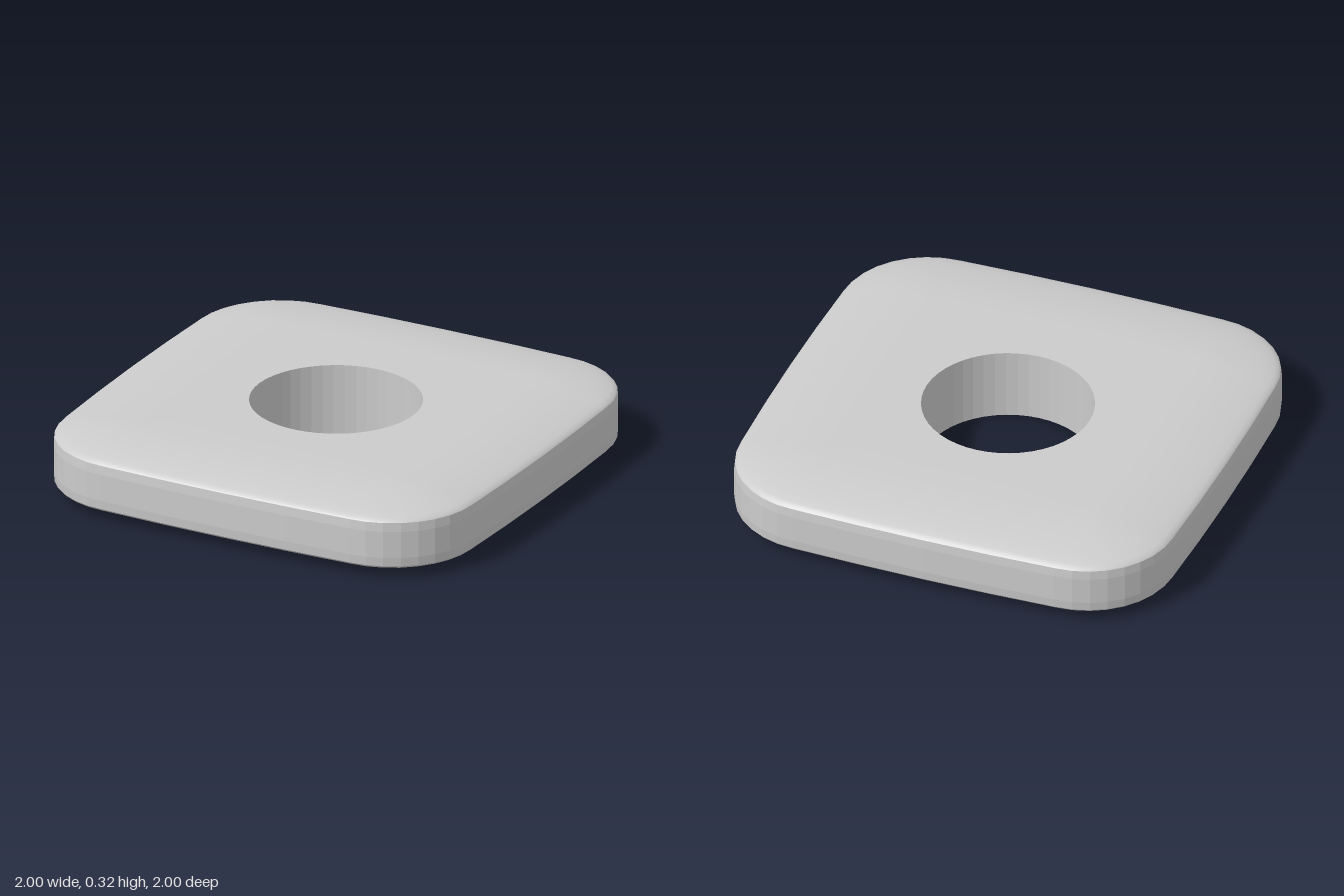
import * as THREE from 'three';

const ARC = 8, SIDE = 4, PER = ARC + SIDE, COUNT = PER * 4;
const HALF = 0.988, CORNER = 0.39, BULGE = 0.012, HOLE = 0.37, HEIGHT = 0.32;

// Rounded square loop, inset by d, with slightly bowed sides
function squareLoop(d, y) {
  const c = HALF - CORNER, r = CORNER - d, pts = [];
  for (let q = 0; q < 4; q++) {
    for (let k = 0; k < PER; k++) {
      let x, z;
      if (k <= ARC) {
        const a = (k / ARC) * Math.PI / 2;
        x = c + r * Math.cos(a);
        z = c + r * Math.sin(a);
      } else {
        const t = 1 - 2 * (k - ARC) / SIDE;
        x = c * t;
        z = c + r + BULGE * (1 - t * t);
      }
      const cs = Math.round(Math.cos(q * Math.PI / 2)), sn = Math.round(Math.sin(q * Math.PI / 2));
      pts.push([x * cs - z * sn, y, -(x * sn + z * cs)]);
    }
  }
  return pts;
}

// Circular loop of the bore
function holeLoop(y) {
  return Array.from({ length: COUNT }, (_, j) => {
    const a = ((j - ARC / 2) / PER + 0.5) * Math.PI / 2;
    return [HOLE * Math.cos(a), y, -HOLE * Math.sin(a)];
  });
}

// Skin joining consecutive loops
function skin(name, loops, flatShading) {
  const index = [];
  for (let i = 0; i < loops.length - 1; i++) {
    for (let j = 0; j < COUNT; j++) {
      const n = (j + 1) % COUNT;
      const a = i * COUNT + j, b = a + COUNT, c = (i + 1) * COUNT + n, d = i * COUNT + n;
      index.push(a, b, c, a, c, d);
    }
  }
  const geo = new THREE.BufferGeometry();
  geo.setAttribute('position', new THREE.Float32BufferAttribute(loops.flat(2), 3));
  geo.setIndex(index);
  geo.computeVertexNormals();
  const mesh = new THREE.Mesh(geo, new THREE.MeshStandardMaterial({ color: 0xcccccc, flatShading }));
  mesh.name = name;
  return mesh;
}

export function createModel() {
  const group = new THREE.Group();
  group.name = 'roundedSquareWasher';

  // Cushioned face: inset from the rim and height, centre to edge
  const profile = [[0.385, 0.32], [0.3, 0.317], [0.22, 0.311], [0.14, 0.301],
    [0.07, 0.288], [0.03, 0.277], [0.012, 0.269], [0.004, 0.26]];
  const top = [holeLoop(HEIGHT), ...profile.map(([d, y]) => squareLoop(d, y))];
  const bottom = [...profile.map(([d, y]) => squareLoop(d, HEIGHT - y)).reverse(), holeLoop(0)];
  group.add(skin('topFace', top, false));
  group.add(skin('bottomFace', bottom, false));

  // Outer wall and bore, both faceted
  const wall = [[0.004, 0.26], [0, 0.22], [0, 0.1], [0.004, 0.06]];
  group.add(skin('outerWall', wall.map(([d, y]) => squareLoop(d, y)), true));
  group.add(skin('boreWall', [holeLoop(0), holeLoop(HEIGHT)], true));
  return group;
}
